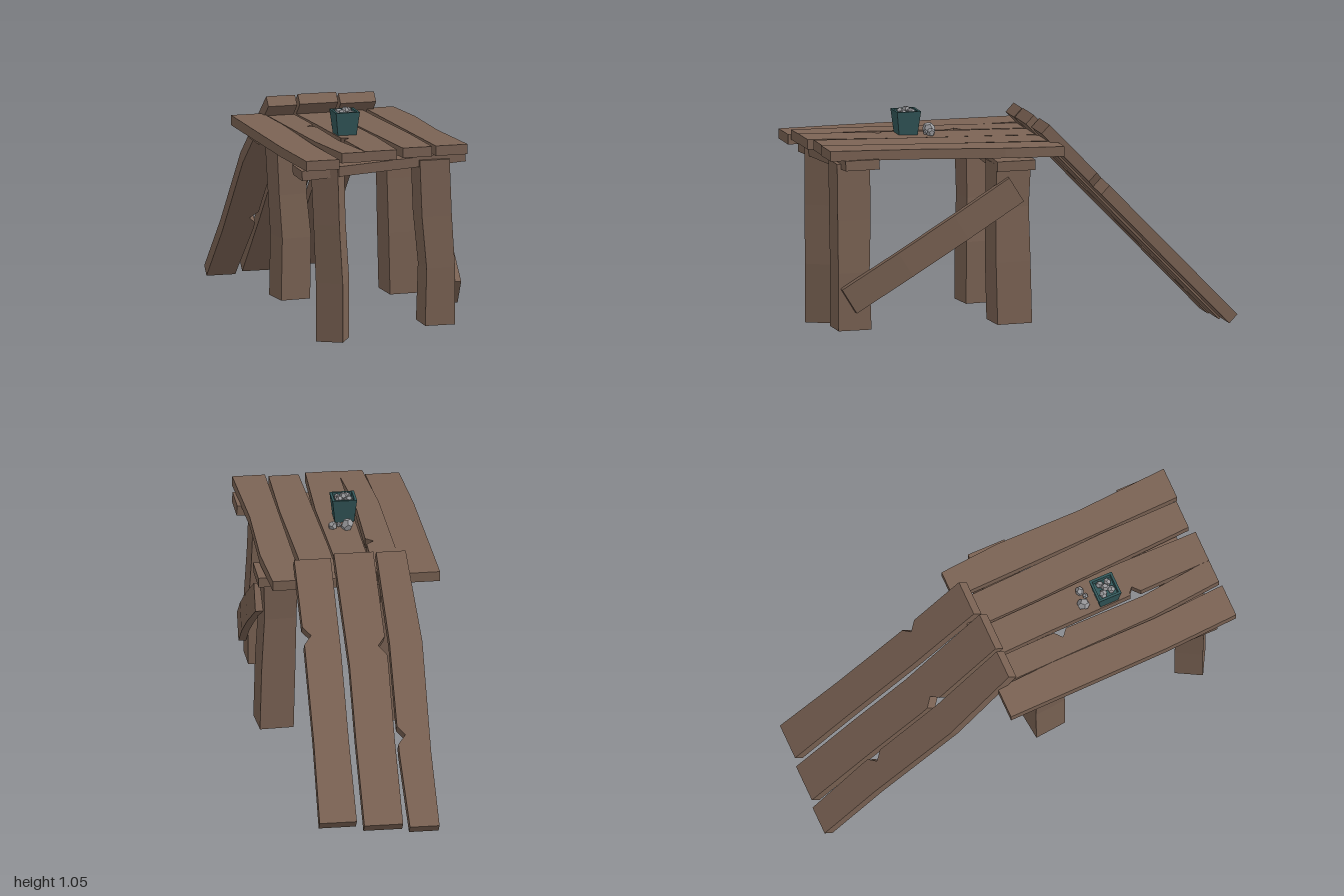
import * as THREE from 'three';

const material = (color) => new THREE.MeshStandardMaterial({ color, flatShading: true, side: THREE.DoubleSide });
const wood = material(0x7b6354);
const teal = material(0x33585a);
const stone = material(0x99999c);

function addMesh(parent, name, geometry, mat) {
  const mesh = new THREE.Mesh(geometry, mat);
  mesh.name = name;
  parent.add(mesh);
  return mesh;
}

// Move every vertex by a rule and refresh the flat normals
function reshape(geometry, rule) {
  const g = geometry.index ? geometry.toNonIndexed() : geometry;
  const p = g.attributes.position;
  const v = new THREE.Vector3();
  for (let i = 0; i < p.count; i++) {
    v.fromBufferAttribute(p, i);
    rule(v);
    p.setXYZ(i, v.x, v.y, v.z);
  }
  g.computeVertexNormals();
  return g;
}

// Crooked plank: sections are [z, left x, right x]; a nick is [side, z]
function plank(sections, nick, place) {
  const edge = (column, side) => {
    const pts = sections.map((s) => [s[column], s[0]]);
    if (nick && nick[0] === side) {
      const z = nick[1];
      const k = sections.findIndex((s) => s[0] > z);
      const a = sections[k - 1], b = sections[k];
      const at = (q) => a[column] + (b[column] - a[column]) * (q - a[0]) / (b[0] - a[0]);
      pts.splice(k, 0, [at(z - 0.03), z - 0.03], [at(z) - side * 0.035, z], [at(z + 0.03), z + 0.03]);
    }
    return pts;
  };
  const outline = [...edge(1, -1), ...edge(2, 1).reverse()];
  const shape = new THREE.Shape(outline.map(([x, z]) => new THREE.Vector2(x, -z)));
  const g = new THREE.ExtrudeGeometry(shape, { depth: 1, bevelEnabled: false });
  return reshape(g, (v) => place(v, -v.y, v.z));
}

// Crooked post: sections run upward as [y, centre x, centre z, scale]
function post(sections, width, depth, turn) {
  const n = sections.length - 1;
  const g = new THREE.BoxGeometry(width, n, depth, 1, n, 1);
  const axis = new THREE.Vector3(0, 1, 0);
  return reshape(g, (v) => {
    const [y, x, z, s] = sections[Math.round(v.y + n / 2)];
    v.y = 0;
    v.multiplyScalar(s).applyAxisAngle(axis, turn);
    v.add(new THREE.Vector3(x, y, z));
  });
}

export function createModel() {
  const model = new THREE.Group();
  model.name = 'tableWithRamp';

  // Tabletop planks: the outer one lies flat, the rest rise to the front
  const deck = new THREE.Group();
  deck.name = 'tabletop';
  model.add(deck);
  const deckPlanks = [
    [[[-0.13, -0.41, -0.26], [0.15, -0.405, -0.245], [0.65, -0.395, -0.24], [1, -0.375, -0.22]], null, 0.922, 0.915],
    [[[-0.12, -0.25, -0.125], [0.15, -0.245, -0.12], [0.65, -0.235, -0.125], [0.99, -0.205, -0.09]], [1, 0.24], 0.948, 0.91],
    [[[-0.12, -0.115, 0.04], [0.2, -0.105, 0.048], [0.6, -0.1, 0.062], [0.99, -0.095, 0.055]], [-1, 0.62], 0.95, 0.91],
    [[[-0.13, 0.05, 0.2], [0.2, 0.055, 0.21], [0.6, 0.072, 0.225], [0.97, 0.088, 0.225]], null, 0.953, 0.91],
    [[[-0.135, 0.22, 0.355], [0.15, 0.225, 0.375], [0.55, 0.232, 0.368], [0.98, 0.24, 0.39]], null, 0.956, 0.912],
  ];
  deckPlanks.forEach(([sections, nick, front, back], i) => {
    const g = plank(sections, nick, (v, z, t) => {
      const top = back + (front - back) * (z + 0.13) / 1.13;
      v.set(v.x, top - 0.046 * (1 - t), z);
    });
    addMesh(deck, 'tabletopPlank' + (i + 1), g, wood);
  });

  // Ramp planks leaning on the back edge
  const ramp = new THREE.Group();
  ramp.name = 'ramp';
  model.add(ramp);
  const rampPlanks = [
    [[[-1, -0.29, -0.155], [-0.75, -0.285, -0.14], [-0.38, -0.295, -0.145], [-0.075, -0.26, -0.125]], [1, -0.69], 0],
    [[[-0.99, -0.125, 0.052], [-0.7, -0.125, 0.052], [-0.45, -0.13, 0.047], [-0.075, -0.112, 0.068]], [-1, -0.39], 0.003],
    [[[-0.98, 0.085, 0.255], [-0.7, 0.085, 0.245], [-0.4, 0.08, 0.243], [-0.095, 0.085, 0.252]], [1, -0.35], 0.012],
  ];
  rampPlanks.forEach(([sections, nick, lift], i) => {
    const g = plank(sections, nick, (v, z, t) => {
      const top = 0.042 + (z + 1) * 1.04 + lift;
      v.set(v.x, top - 0.04 * (1 - t), z + 0.038 * (1 - t));
    });
    addMesh(ramp, 'rampPlank' + (i + 1), g, wood);
  });

  // Four crooked legs
  const legs = [
    ['frontRightLeg', [[0.06, -0.208, 0.845, 1], [0.33, -0.208, 0.845, 1], [0.6, -0.222, 0.845, 0.96], [0.86, -0.23, 0.84, 1]], 0.125, 0.13, -0.5],
    ['frontLeftLeg', [[0.115, 0.275, 0.85, 1], [0.38, 0.278, 0.855, 0.95], [0.62, 0.26, 0.85, 1], [0.88, 0.25, 0.85, 1]], 0.14, 0.155, 0],
    ['backLeftLeg', [[0.115, 0.318, 0.115, 1], [0.4, 0.31, 0.12, 1], [0.65, 0.3, 0.12, 0.95], [0.85, 0.3, 0.115, 1]], 0.155, 0.165, 0.05],
    ['backRightLeg', [[0.115, -0.205, 0.12, 1], [0.4, -0.2, 0.12, 1], [0.6, -0.215, 0.115, 0.95], [0.85, -0.225, 0.115, 1]], 0.14, 0.15, 0.1],
  ];
  legs.forEach(([name, ...args]) => addMesh(model, name, post(...args), wood));

  // Sloping cross beams under the tabletop
  const beams = [
    ['frontBeam', 0.86, 0.83, 0.16, 0.065],
    ['backBeam', 0.853, 0.105, 0.18, -0.025],
  ];
  beams.forEach(([name, y, z, depth, tilt]) => {
    const beam = addMesh(model, name, new THREE.BoxGeometry(0.77, 0.046, depth), wood);
    beam.position.set(0.015, y, z);
    beam.rotation.z = tilt;
  });

  // Diagonal side brace, bowed outward in the middle
  const low = new THREE.Vector3(0.36, 0.255, 0.885);
  const high = new THREE.Vector3(0.388, 0.735, 0.105);
  const length = low.distanceTo(high);
  const braceGeometry = reshape(new THREE.BoxGeometry(0.035, 0.13, length, 1, 1, 3), (v) => {
    if (Math.abs(v.z) < length * 0.4) v.x += 0.012;
  });
  const brace = addMesh(model, 'sideBrace', braceGeometry, wood);
  brace.position.copy(low).add(high).multiplyScalar(0.5);
  brace.lookAt(high);
  brace.scale.x = -1;

  // Tapered square bucket, open at the top
  const bucket = new THREE.Group();
  bucket.name = 'bucket';
  bucket.position.set(-0.052, 0.925, 0.495);
  model.add(bucket);
  const half = Math.SQRT2;
  const profile = [[0, 0], [0.043, 0], [0.056, 0.115], [0.045, 0.115], [0.043, 0.09], [0, 0.09]];
  const shell = new THREE.LatheGeometry(profile.map(([r, y]) => new THREE.Vector2(r * half, y)), 4, Math.PI / 4);
  addMesh(bucket, 'bucketShell', shell, teal);

  // Stones heaped in the bucket and spilled beside it: [x, y, z, radius]
  const stones = [
    [-0.075, 1.03, 0.475, 0.021], [-0.03, 1.033, 0.478, 0.02], [-0.07, 1.032, 0.517, 0.02],
    [-0.028, 1.028, 0.515, 0.019], [-0.052, 1.04, 0.495, 0.021],
    [-0.055, 0.945, 0.385, 0.033], [0.01, 0.94, 0.395, 0.023], [-0.02, 0.938, 0.41, 0.014],
  ];
  stones.forEach(([x, y, z, r], i) => {
    const rock = addMesh(model, 'stone' + (i + 1), new THREE.DodecahedronGeometry(r), stone);
    rock.position.set(x, y, z);
    rock.rotation.set(i * 1.3, i * 0.7, i * 2.1);
    rock.scale.set(1, 0.85, 0.9);
  });

  return model;
}
